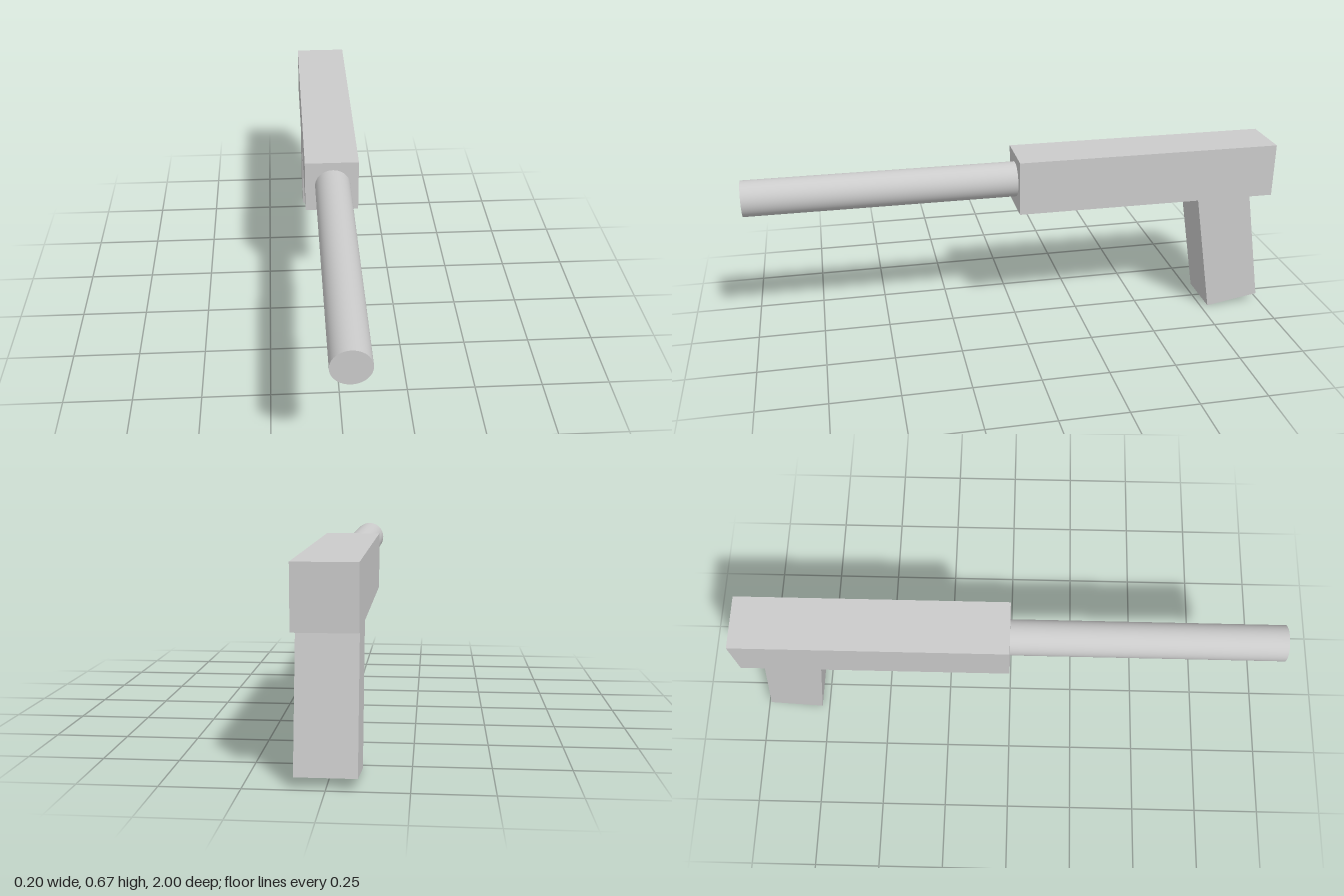
import * as THREE from 'three';

const material = new THREE.MeshStandardMaterial({ color: 0xcccccc });

function addPart(group, name, geometry, x, y, z, tilt = 0) {
  const mesh = new THREE.Mesh(geometry, material);
  mesh.name = name;
  mesh.position.set(x, y, z);
  mesh.rotation.x = tilt;
  group.add(mesh);
}

export function createModel() {
  const group = new THREE.Group();
  group.name = 'toyBlaster';

  // Square housing, filling the rear half
  addPart(group, 'body', new THREE.BoxGeometry(0.2, 0.204, 1), 0, 0.573, -0.5);

  // Round barrel running forward from the housing
  const barrel = new THREE.CylinderGeometry(0.066, 0.066, 1, 48).rotateX(Math.PI / 2);
  addPart(group, 'barrel', barrel, 0.003, 0.578, 0.5);

  // Handle raked backwards, its top sunk into the housing
  addPart(group, 'grip', new THREE.BoxGeometry(0.192, 0.56, 0.208), 0.001, 0.294, -0.836, 0.166);

  return group;
}
